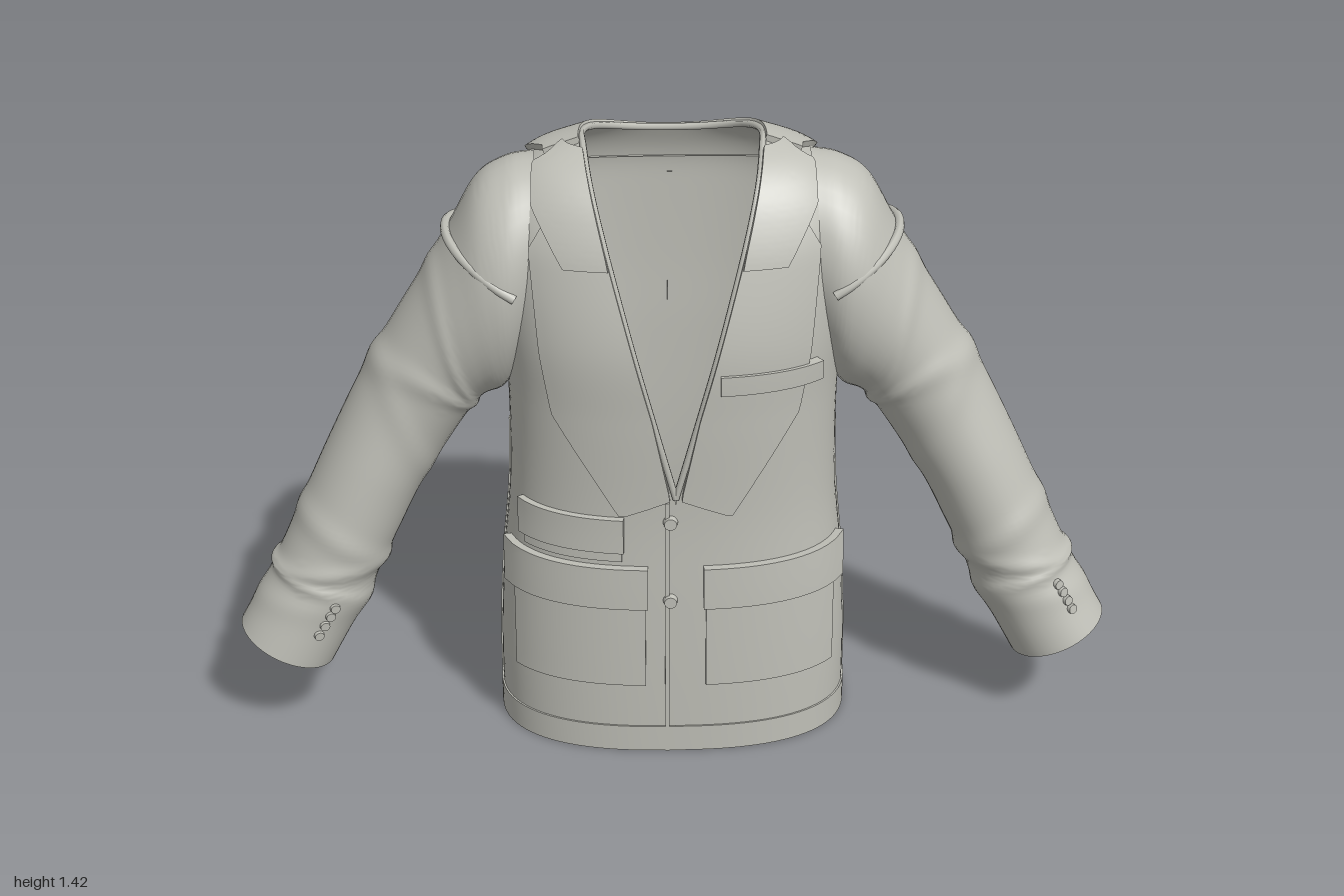
import * as THREE from 'three';
import { toCreasedNormals } from 'three/addons/utils/BufferGeometryUtils.js';

const cloth = new THREE.MeshStandardMaterial({ color: 0xbfbfb7, side: THREE.DoubleSide });
cloth.name = 'grey cloth';
const V = (x, y, z) => new THREE.Vector3(x, y, z);
const N = 2.5; // squareness of the body's cross-section

// body rings: height, half width, front z, back z, drop at the back
const RINGS = [
  [0, .4, .255, .28, 0], [.2, .4, .255, .278, 0], [.4, .39, .253, .25, 0], [.6, .372, .25, .238, 0],
  [.85, .37, .26, .234, 0], [1.02, .385, .262, .236, 0], [1.2, .4, .228, .235, 0],
  [1.28, .385, .2, .233, .02], [1.34, .345, .165, .225, .04], [1.38, .29, .12, .214, .05], [1.41, .2, .06, .2, .05],
];
// sleeve sections: index, top x y, bottom x y, centre z, half depth
const ARM = [
  [.3, 1.382, .31, .95, 0, .165], [.365, 1.368, .355, .87, 0, .187], [.43, 1.325, .38, .835, 0, .186],
  [.49, 1.22, .412, .822, 0, .172], [.56, 1.1, .428, .81, 0, .156], [.62, 1, .455, .775, -.003, .148],
  [.7, .86, .51, .69, -.004, .142], [.78, .7, .575, .585, .01, .14], [.845, .56, .625, .485, .025, .135],
  [.9, .44, .67, .395, .038, .13], [.93, .38, .7, .325, .048, .126], [1, .26, .79, .16, .07, .12],
].map((s, i) => [i, ...s]);

// smooth lookup in a table keyed by its first column
function lookup(table, k) {
  let i = 0;
  while (i < table.length - 2 && k > table[i + 1][0]) i++;
  const a = table[i], b = table[i + 1], p = table[i - 1] || a, q = table[i + 2] || b;
  const h = b[0] - a[0], t = THREE.MathUtils.clamp((k - a[0]) / h, 0, 1);
  return a.map((_, c) => {
    const m = (b[c] - p[c]) / (b[0] - p[0]) * h, n = (q[c] - a[c]) / (q[0] - a[0]) * h;
    return a[c] + t * (m + t * (3 * (b[c] - a[c]) - 2 * m - n + t * (2 * (a[c] - b[c]) + m + n)));
  });
}
const linear = (rows, y) => {
  let i = 0;
  while (i < rows.length - 2 && y > rows[i + 1][0]) i++;
  const t = (y - rows[i][0]) / (rows[i + 1][0] - rows[i][0]);
  return rows[i].map((a, c) => a + t * (rows[i + 1][c] - a));
};

// point on the body at angle a (0 = front, PI = back)
function body(a, y, k = 1) {
  const [, w, zf, zb, drop] = lookup(RINGS, y), s = Math.sin(a), c = Math.cos(a), e = 2 / N;
  return V(k * w * Math.sign(s) * Math.abs(s) ** e, y - (c < 0 ? drop * c * c : 0),
    k * (c < 0 ? -zb : zf) * Math.abs(c) ** e);
}
function bodyFront(x, y) {
  const [, w, zf] = lookup(RINGS, y);
  return V(x, y, zf * Math.max(0, 1 - (Math.abs(x) / w) ** N) ** (1 / N));
}
// angle of the neckline's edge
const openX = y => Math.max(0, (y - .66) / .75 * .194);
const openAngle = y => Math.asin(Math.min(1, (openX(y) / lookup(RINGS, y)[1]) ** (N / 2)));

// point on the left sleeve, with cloth folds
const FOLDS = [[4.1, .03, .4], [5.2, .04, -.5], [6.1, .025, .5], [8.4, .045, .3], [9.1, .05, -.3], [9.8, .055, .25], [10.3, .03, -.1]];
function arm(t, a, k = 1) {
  const [, tx, ty, bx, by, zc, zr] = lookup(ARM, t), c = Math.cos(a), s = Math.sin(a);
  let r = k;
  for (const [at, amp, lean] of FOLDS) r += amp * Math.exp(-(((t - at + lean * c + .15 * s) / .22) ** 2));
  return V((tx + bx) / 2 + r * c * (tx - bx) / 2, (ty + by) / 2 + r * c * (ty - by) / 2, zc + r * zr * s);
}

function grid(fn, nu, nv) {
  const pos = [], idx = [];
  for (let j = 0; j <= nv; j++) for (let i = 0; i <= nu; i++) pos.push(...fn(i, j).toArray());
  for (let j = 0; j < nv; j++) for (let i = 0; i < nu; i++) {
    const a = j * (nu + 1) + i, b = a + nu + 1;
    idx.push(a, a + 1, b, a + 1, b + 1, b);
  }
  const g = new THREE.BufferGeometry();
  g.setAttribute('position', new THREE.Float32BufferAttribute(pos, 3));
  g.setIndex(idx);
  return toCreasedNormals(g, .7);
}

// raised piece of cloth lying on a surface fn(u, v), its rim turned down
function patch(fn, nu, nv, thick) {
  const lim = x => Math.min(1, Math.max(0, x));
  return grid((i, j) => {
    const u = lim((i - 1) / nu), v = lim((j - 1) / nv), e = .01, p = fn(u, v);
    const du = fn(lim(u + e), v).sub(fn(lim(u - e), v)), dv = fn(u, lim(v + e)).sub(fn(u, lim(v - e)));
    const n = du.cross(dv).normalize();
    if (n.dot(V(p.x, Math.max(0, p.y - 1.2), p.z)) < 0) n.negate();
    const rim = i === 0 || j === 0 || i === nu + 2 || j === nv + 2;
    return p.addScaledVector(n, rim ? -.005 : thick);
  }, nu + 2, nv + 2);
}
const frontPanel = (x0, x1, y0, y1, thick) =>
  patch((u, v) => bodyFront(x0 + u * (x1 - x0), y0 + v * (y1 - y0)), 16, 6, thick);

export function createModel() {
  const model = new THREE.Group();
  const add = (name, geo) => {
    const m = new THREE.Mesh(geo, cloth);
    m.name = name;
    model.add(m);
    return m;
  };

  // body shell with a turned-in hem and an open neckline
  const rows = [[.4, .955], [.2, .955], [0, .955]];
  for (let i = 0; i <= 48; i++) rows.push([1.41 * (1 - (1 - i / 48) ** 1.3), 1]);
  add('body', grid((i, j) => {
    const [y, k] = rows[j], a0 = openAngle(y);
    return body(a0 + (2 * Math.PI - 2 * a0) * i / 96, y, k);
  }, 96, rows.length - 1));
  add('hemBand', patch((u, v) => body(u * 2 * Math.PI, v * .065), 96, 2, .004));

  // piped edge round the neckline
  const edge = [];
  for (let i = 0; i <= 20; i++) edge.push(body(openAngle(.66 + i * .0375), .66 + i * .0375));
  const mirrored = edge.map(p => V(-p.x, p.y, p.z)).reverse();
  for (let i = 1; i < 16; i++) edge.push(body(Math.PI / 2 + i / 16 * Math.PI, 1.41));
  edge.push(...mirrored);
  add('necklineEdge', new THREE.TubeGeometry(new THREE.CatmullRomCurve3(edge), 160, .008, 6));

  // collar round the back of the neck
  add('backCollar', patch((u, v) => {
    const a = Math.PI * (.47 + 1.06 * u), off = Math.abs(a - Math.PI);
    const low = 1.31 + .075 * THREE.MathUtils.clamp((off - .75) / .8, 0, 1);
    return body(a, low + (1.41 - low) * v);
  }, 60, 8, .014));

  // lapels and front collar ends: height, inner x, outer x
  const lapel = [[.62, .11, .125], [.66, .012, .148], [.86, .052, .265], [1.0, .088, .288], [1.23, .148, .308], [1.33, .174, .25]];
  const collarEnd = [[1.2, .142, .235], [1.225, .147, .25], [1.31, .168, .298], [1.37, .184, .296], [1.4, .192, .235]];
  for (const s of [1, -1]) {
    const side = s > 0 ? 'left' : 'right';
    const strip = (table, thick) => patch((u, v) => {
      const y0 = table[0][0], y = y0 + v * (table[table.length - 1][0] - y0), [, a, b] = linear(table, y);
      return bodyFront(s * (a + u * (b - a)), y);
    }, 12, 36, thick);
    add(side + 'Lapel', strip(lapel, .014));
    add(side + 'CollarEnd', strip(collarEnd, .022));

    // lower pockets
    add(side + 'Pocket', frontPanel(s * .068, s * .357, .18, .41, .01));
    add(side + 'PocketFlap', frontPanel(s * .062, s * .37, .385, .487, .02));

    // sleeve with a turned-in cuff
    const ts = [];
    for (let i = 0; i <= 110; i++) ts.push([i / 10, 1]);
    ts.push([11, .9], [10.6, .9], [10, .88], [9, .86]);
    add(side + 'Sleeve', grid((i, j) => {
      const p = arm(ts[j][0], i / 40 * 2 * Math.PI, ts[j][1]);
      p.x *= s;
      return p;
    }, 40, ts.length - 1));

    // raised shoulder seam
    const seam = [];
    for (let i = 0; i <= 16; i++) {
      const a = (i / 16 - .5) * Math.PI, c = Math.cos(a);
      seam.push(V(s * (.347 + .152 * c), 1.117 + .098 * c, .184 * Math.sin(a)));
    }
    add(side + 'ShoulderSeam', new THREE.TubeGeometry(new THREE.CatmullRomCurve3(seam), 40, .011, 8));

    // cuff buttons
    const a = Math.acos(s > 0 ? .55 : -.35);
    for (const f of [0, .17, .34, .5]) {
      const p = arm(10 + f, a), n = p.clone().sub(arm(10 + f, a, .5)).normalize();
      const b = add(side + 'CuffButton', new THREE.CylinderGeometry(.011, .013, .014, 14));
      b.position.set(s * p.x, p.y, p.z);
      b.quaternion.setFromUnitVectors(V(0, 1, 0), V(s * n.x, n.y, n.z));
    }

    // side and lower back seams
    add(side + 'SideSeam', patch((u, v) => body(s * (Math.PI / 2 + (u - .5) * .02), .02 + v * .72), 1, 20, .003));
    add(side + 'BackSeam', patch((u, v) => body(Math.PI + s * (.6 + u * .012), .02 + v * .38), 1, 12, .003));
  }

  // single pockets, front closing edge and centre back seam
  add('ticketPocketFlap', frontPanel(-.34, -.115, .525, .61, .016));
  add('ticketPocketWelt', frontPanel(-.335, -.12, .5, .53, .006));
  add('chestPocket', frontPanel(.095, .31, .927, .972, .022));
  add('frontEdge', frontPanel(-.024, -.014, 0, .65, .006));
  add('centreBackSeam', patch((u, v) => body(Math.PI + (u - .5) * .01, .05 + v * 1.2), 1, 30, .003));

  // front buttons
  for (const y of [.6, .4]) {
    const b = add('frontButton', new THREE.CylinderGeometry(.014, .017, .016, 18));
    b.position.copy(bodyFront(-.012, y)).add(V(0, 0, .006));
    b.rotation.x = Math.PI / 2;
  }
  return model;
}
